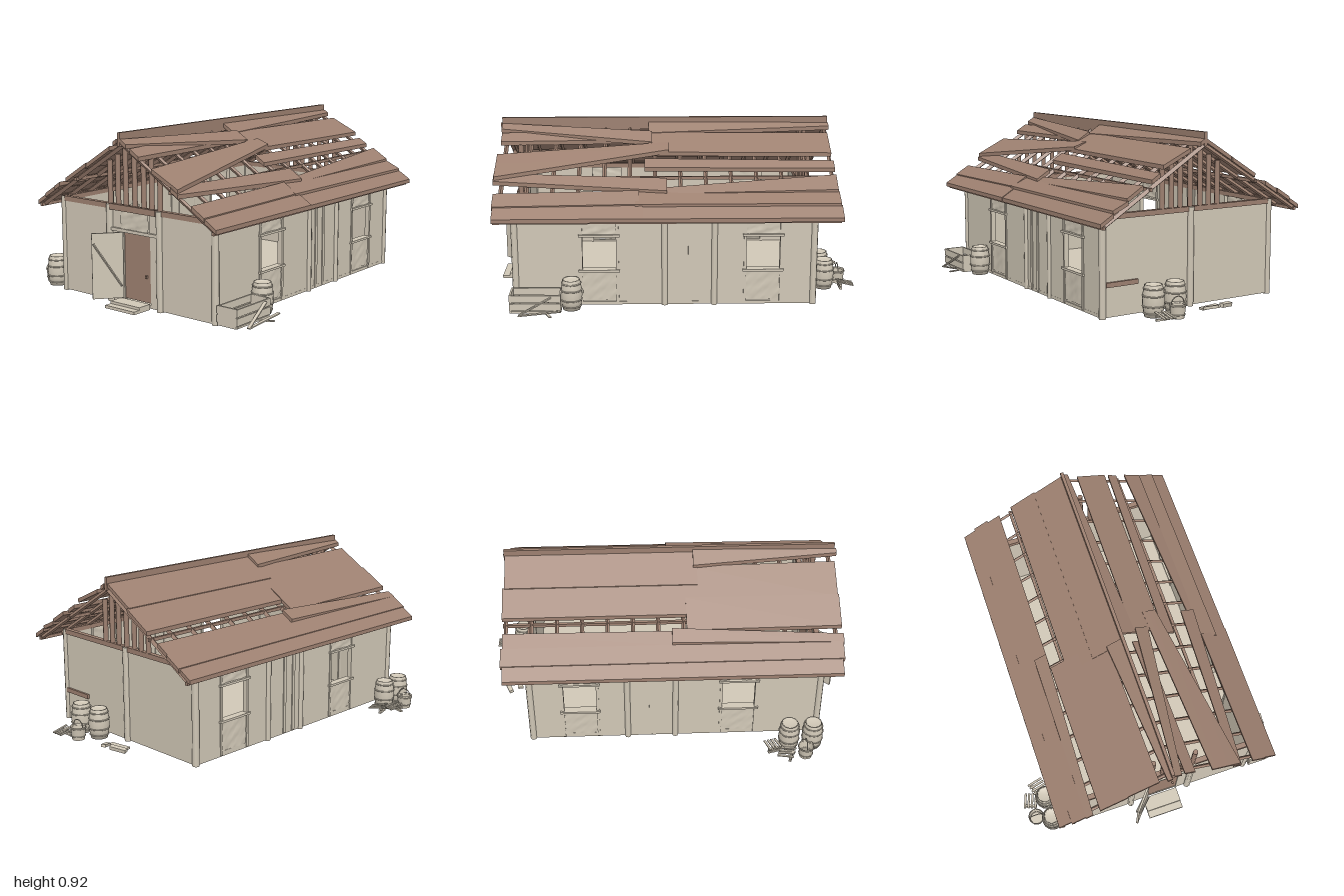
import * as THREE from 'three';

export function createModel() {
  const root = new THREE.Group();
  root.name = 'oldCottage';
  const cream = new THREE.MeshStandardMaterial({ color: 0xd0c7b6, side: THREE.DoubleSide });
  cream.name = 'weathered plaster';
  const brown = new THREE.MeshStandardMaterial({ color: 0x9d8070, side: THREE.DoubleSide });
  brown.name = 'aged timber';

  const add = (name, geo, mat, x = 0, y = 0, z = 0, parent = root) => {
    const m = new THREE.Mesh(geo, mat);
    m.name = name;
    m.position.set(x, y, z);
    parent.add(m);
    return m;
  };
  // box given by its extents
  const box = (name, mat, x0, x1, y0, y1, z0, z1, parent = root) =>
    add(name, new THREE.BoxGeometry(x1 - x0, y1 - y0, z1 - z0), mat,
      (x0 + x1) / 2, (y0 + y1) / 2, (z0 + z1) / 2, parent);
  const post = (name, mat, x, z, y0, y1, r = 0.019) =>
    add(name, new THREE.CylinderGeometry(r, r, y1 - y0, 8), mat, x, (y0 + y1) / 2, z);
  // board running between two points
  const board = (name, mat, a, b, w, t, parent = root) => {
    const A = new THREE.Vector3(...a), B = new THREE.Vector3(...b);
    const m = add(name, new THREE.BoxGeometry(w, t, A.distanceTo(B)), mat, 0, 0, 0, parent);
    m.position.copy(A).add(B).multiplyScalar(0.5);
    m.quaternion.setFromUnitVectors(new THREE.Vector3(0, 0, 1), B.sub(A).normalize());
    return m;
  };
  const ridgeX = 0.01;
  const roofY = x => 0.888 - 0.615 * Math.abs(x - ridgeX);

  // Floor and end walls
  box('floor', cream, -0.52, 0.55, 0.003, 0.02, -0.73, 0.86);
  box('frontWallRight', cream, -0.51, -0.165, 0.005, 0.5, 0.85, 0.868);
  box('frontWallLeft', cream, 0.185, 0.54, 0.005, 0.5, 0.85, 0.868);
  box('backWall', cream, -0.51, 0.54, 0.005, 0.5, -0.738, -0.72);
  box('backRail', brown, 0.34, 0.53, 0.16, 0.185, -0.75, -0.738);
  for (const z of [0.858, -0.73]) {
    box('tieBeam', brown, -0.52, 0.55, 0.5, 0.527, z - 0.014, z + 0.014);
    for (const x of [-0.515, 0.542]) post('cornerPost', cream, x, z, 0, 0.525);
    // open gable studs
    for (const x of [-0.165, -0.108, -0.053, 0.01, 0.073, 0.128, 0.185])
      post('gableStud', brown, x, z, 0.525, roofY(x) - 0.025, 0.014);
  }
  for (const x of [-0.165, 0.185]) post('frontPost', cream, x, 0.866, 0, 0.525);
  post('backPost', cream, 0.01, -0.737, 0, 0.525);
  box('lintelBeam', brown, -0.15, 0.17, 0.498, 0.53, 0.868, 0.885);

  // Side walls, each with two half-boarded windows
  const patch = (name, w, h, x, y, z, ry) => {
    const g = new THREE.PlaneGeometry(w, h, 10, 8);
    const p = g.attributes.position;
    for (let i = 0; i < p.count; i++) {
      const a = p.getX(i) * 75, b = p.getY(i) * 90;
      p.setZ(i, 0.004 * Math.sin(a + 1.3 * Math.sin(b)) * Math.cos(b + 0.4 * a));
    }
    g.computeVertexNormals();
    add(name, g, cream, x, y, z).rotation.y = ry;
  };
  for (const [x, s] of [[-0.512, -1], [0.54, 1]]) {
    for (const [z0, z1] of [[0.505, 0.855], [-0.368, 0.32], [-0.73, -0.55]])
      box('sideWall', cream, x - 0.009, x + 0.009, 0.005, 0.5, z0, z1);
    for (const zc of [0.412, -0.459]) {
      patch('windowLowerCloth', 0.185, 0.17, x + s * 0.008, 0.115, zc, s * Math.PI / 2);
      patch('windowUpperCloth', 0.185, 0.1, x + s * 0.008, 0.445, zc, s * Math.PI / 2);
      box('windowBase', cream, x - 0.008, x + 0.004, 0.005, 0.03, zc - 0.092, zc + 0.092);
      for (const y of [0.195, 0.39])
        box('windowSill', cream, x - 0.022, x + 0.022, y - 0.006, y + 0.006, zc - 0.11, zc + 0.11);
      for (const dz of [-0.096, 0.096])
        box('windowJamb', cream, x - 0.014, x + 0.014, 0.01, 0.5, zc + dz - 0.007, zc + dz + 0.007);
    }
    for (const z of [0.065, -0.2]) post('sidePost', cream, x + s * 0.006, z, 0, 0.5, 0.017);
    for (const z of [0, -0.07]) box('wallBatten', cream, x - 0.014, x + 0.014, 0.01, 0.5, z - 0.01, z + 0.01);
    box('wallPlate', brown, x - 0.012, x + 0.012, 0.5, 0.525, -0.73, 0.85);
  }

  // Doorway, swung-open door and step
  box('innerDoor', brown, -0.068, 0.115, 0.03, 0.385, 0.845, 0.858);
  box('doorHandle', brown, 0.083, 0.093, 0.16, 0.175, 0.858, 0.87);
  box('doorSideWall', cream, 0.115, 0.17, 0.005, 0.385, 0.848, 0.862);
  box('doorSideWall', cream, -0.15, -0.068, 0.005, 0.385, 0.848, 0.862);
  box('doorHead', cream, -0.15, 0.17, 0.385, 0.402, 0.85, 0.875);
  box('doorHeadSide', cream, 0.11, 0.17, 0.4, 0.5, 0.848, 0.862);
  box('doorHeadSide', cream, -0.15, -0.085, 0.4, 0.5, 0.848, 0.862);
  patch('transomCloth', 0.195, 0.1, 0.012, 0.447, 0.868, 0);
  const door = new THREE.Group();
  door.name = 'openDoor';
  door.position.set(-0.068, 0, 0.872);
  door.rotation.y = -Math.atan2(0.125, -0.105);
  root.add(door);
  box('doorLeaf', cream, 0, 0.163, 0.035, 0.385, -0.006, 0.006, door);
  for (const z of [-0.009, 0.009])
    board('doorBrace', cream, [0.01, 0.1, z], [0.155, 0.33, z], 0.006, 0.016, door);
  box('step', cream, -0.09, 0.115, 0.016, 0.03, 0.87, 0.95);
  box('lowerStep', cream, -0.09, 0.115, 0.0, 0.016, 0.87, 0.99);

  // Roof frame: ridge, rafters and purlins
  box('ridgeBoard', brown, ridgeX - 0.009, ridgeX + 0.009, 0.85, 0.92, -0.86, 0.97);
  for (const s of [-1, 1]) {
    const eave = ridgeX + s * 0.6;
    for (let i = 0; i < 14; i++) {
      const z = -0.845 + i * 0.137;
      board('rafter', brown, [ridgeX, roofY(ridgeX) - 0.035, z], [eave, roofY(eave) - 0.035, z], 0.014, 0.02);
    }
    for (const d of [0.33, 0.6])
      box('purlin', brown, ridgeX + s * d - 0.008, ridgeX + s * d + 0.008,
        roofY(ridgeX + d) - 0.045, roofY(ridgeX + d) - 0.028, -0.86, 0.96);
  }

  // Roof planks: x range at the rear end, x range at the front end, lift of both ends
  const plank = (z0, a, z1, b, la = 0, lb = 0, tilt = 0) => {
    const g = new THREE.BoxGeometry(1, 1, 1);
    const p = g.attributes.position;
    for (let i = 0; i < p.count; i++) {
      const front = p.getZ(i) > 0, right = p.getX(i) > 0 ? 1 : 0;
      const x = (front ? b : a)[right];
      const outer = (x > ridgeX) === (right === 1);
      const y = roofY(x) + (front ? lb : la) + (outer ? tilt : 0) - (p.getY(i) > 0 ? 0 : 0.022);
      p.setXYZ(i, x, y, front ? z1 : z0);
    }
    g.computeVertexNormals();
    add('roofPlank', g, brown);
  };
  // right slope
  plank(-0.86, [-0.615, -0.54], 0.96, [-0.615, -0.54]);
  plank(-0.87, [-0.545, -0.46], 0.97, [-0.545, -0.46], 0.004, 0.004);
  plank(-0.86, [-0.465, -0.385], 0.13, [-0.465, -0.39]);
  plank(0.05, [-0.46, -0.39], 0.975, [-0.465, -0.425], 0.02, 0.004);
  plank(-0.865, [-0.31, -0.16], 0.2, [-0.31, -0.16]);
  plank(-0.855, [-0.165, 0.005], 0.2, [-0.165, 0.005], 0.004, 0.004);
  plank(0.13, [-0.39, -0.23], 0.97, [-0.385, -0.23], 0.004, 0.004);
  plank(0.15, [-0.24, -0.07], 0.965, [-0.24, -0.06]);
  plank(0.18, [-0.08, 0.0], 0.98, [-0.02, 0.005], 0.02, 0.004);
  // left slope, rear half
  plank(-0.865, [0.02, 0.045], 0.15, [0.02, 0.095], 0.004, 0.01);
  plank(-0.85, [0.095, 0.26], 0.15, [0.085, 0.25], 0.006, 0.006, 0.025);
  plank(-0.86, [0.285, 0.335], 0.17, [0.26, 0.32], 0.01, 0.004);
  plank(-0.86, [0.385, 0.48], 0.05, [0.445, 0.485], 0.018, 0.004);
  plank(-0.865, [0.475, 0.565], 0.22, [0.475, 0.565], 0.004, 0.004, 0.014);
  plank(-0.87, [0.56, 0.637], 0.22, [0.56, 0.637], 0.004, 0.004);
  // left slope, front half
  plank(0.13, [0.1, 0.175], 0.97, [0.02, 0.06], 0.025, 0.006);
  plank(0.2, [0.06, 0.13], 0.965, [0.08, 0.14], 0, 0);
  plank(0.04, [0.175, 0.25], 0.975, [0.235, 0.405], 0.024, 0.01, 0.02);
  plank(0.05, [0.405, 0.485], 0.98, [0.36, 0.41], 0.02, 0.01);
  plank(0.2, [0.475, 0.56], 0.97, [0.485, 0.565], 0.014, 0.008);
  plank(0.18, [0.56, 0.64], 0.965, [0.56, 0.635], 0.008, 0.002);

  // Barrels and buckets
  const barrel = (x, z, h = 0.165, r = 0.058) => {
    const g = new THREE.Group();
    g.name = 'barrel';
    g.position.set(x, 0.003, z);
    root.add(g);
    const pts = [[0.001, 0], [0.8, 0], [0.93, 0.25], [1, 0.5], [0.93, 0.75], [0.8, 1], [0.72, 1], [0.7, 0.94], [0.001, 0.94]]
      .map(([a, b]) => new THREE.Vector2(a * r, b * h));
    add('staves', new THREE.LatheGeometry(pts, 14), cream, 0, 0, 0, g);
    for (const [k, q] of [[0.12, 0.88], [0.34, 0.97], [0.66, 0.97], [0.88, 0.88]])
      add('hoop', new THREE.TorusGeometry(r * q, 0.004, 5, 14), cream, 0, h * k, 0, g).rotation.x = Math.PI / 2;
  };
  const bucket = (x, z) => {
    const g = new THREE.Group();
    g.name = 'bucket';
    g.position.set(x, 0.003, z);
    root.add(g);
    add('pail', new THREE.CylinderGeometry(0.043, 0.035, 0.075, 14, 1, true), cream, 0, 0.0375, 0, g);
    add('pailBottom', new THREE.CylinderGeometry(0.036, 0.035, 0.01, 14), cream, 0, 0.006, 0, g);
    for (const [y, r] of [[0.02, 0.038], [0.065, 0.043]])
      add('hoop', new THREE.TorusGeometry(r, 0.003, 5, 14), cream, 0, y, 0, g).rotation.x = Math.PI / 2;
    add('handle', new THREE.TorusGeometry(0.04, 0.003, 5, 12, Math.PI), cream, 0, 0.07, 0, g);
  };
  for (const [x, z] of [[-0.63, 0.69], [-0.63, 0.82], [0.605, 0.56], [0.3, -0.825], [0.16, -0.815]]) barrel(x, z);
  bucket(-0.715, 0.775);
  bucket(0.215, -0.915);

  // Broken crates made of loose slats
  const brokenCrate = (x, z, ry) => {
    const g = new THREE.Group();
    g.name = 'brokenCrate';
    g.position.set(x, 0, z);
    g.rotation.y = ry;
    root.add(g);
    for (let i = 0; i < 4; i++)
      board('slat', cream, [-0.03 + i * 0.02, 0.025, -0.045], [-0.03 + i * 0.02, 0.04 + 0.006 * (i % 2), 0.045], 0.012, 0.006, g);
    for (const y of [0.008, 0.026]) box('crossSlat', cream, -0.037, 0.037, y - 0.005, y + 0.005, 0.02, 0.034, g);
  };
  brokenCrate(-0.72, 0.67, -0.35);
  brokenCrate(-0.655, 0.6, -1.3);
  brokenCrate(0.31, -0.945, 0);

  // Open crate with leaning slats
  box('crateBottom', cream, 0.575, 0.69, 0.01, 0.02, 0.62, 0.87);
  for (const x of [0.572, 0.688])
    for (const y of [0.025, 0.07]) box('crateSide', cream, x - 0.005, x + 0.005, y, y + 0.038, 0.61, 0.88);
  for (const z of [0.615, 0.875]) box('crateEnd', cream, 0.572, 0.688, 0.01, 0.11, z - 0.005, z + 0.005);
  board('leaningSlat', cream, [0.7, 0.1, 0.66], [0.725, 0.01, 0.83], 0.018, 0.006);
  board('leaningSlat', cream, [0.745, 0.04, 0.61], [0.725, 0.01, 0.83], 0.018, 0.006);
  board('looseSlat', cream, [0.66, 0.008, 0.7], [0.755, 0.012, 0.66], 0.014, 0.006);

  // Scraps behind the house
  board('scrapBoard', cream, [-0.145, 0.02, -0.88], [-0.06, 0.03, -0.915], 0.025, 0.02);
  board('scrapBoard', cream, [-0.03, 0.035, -0.94], [0.015, 0.015, -0.87], 0.025, 0.015);
  board('scrapBoard', cream, [-0.1, 0.008, -0.83], [0.02, 0.008, -0.85], 0.03, 0.012);
  return root;
}
